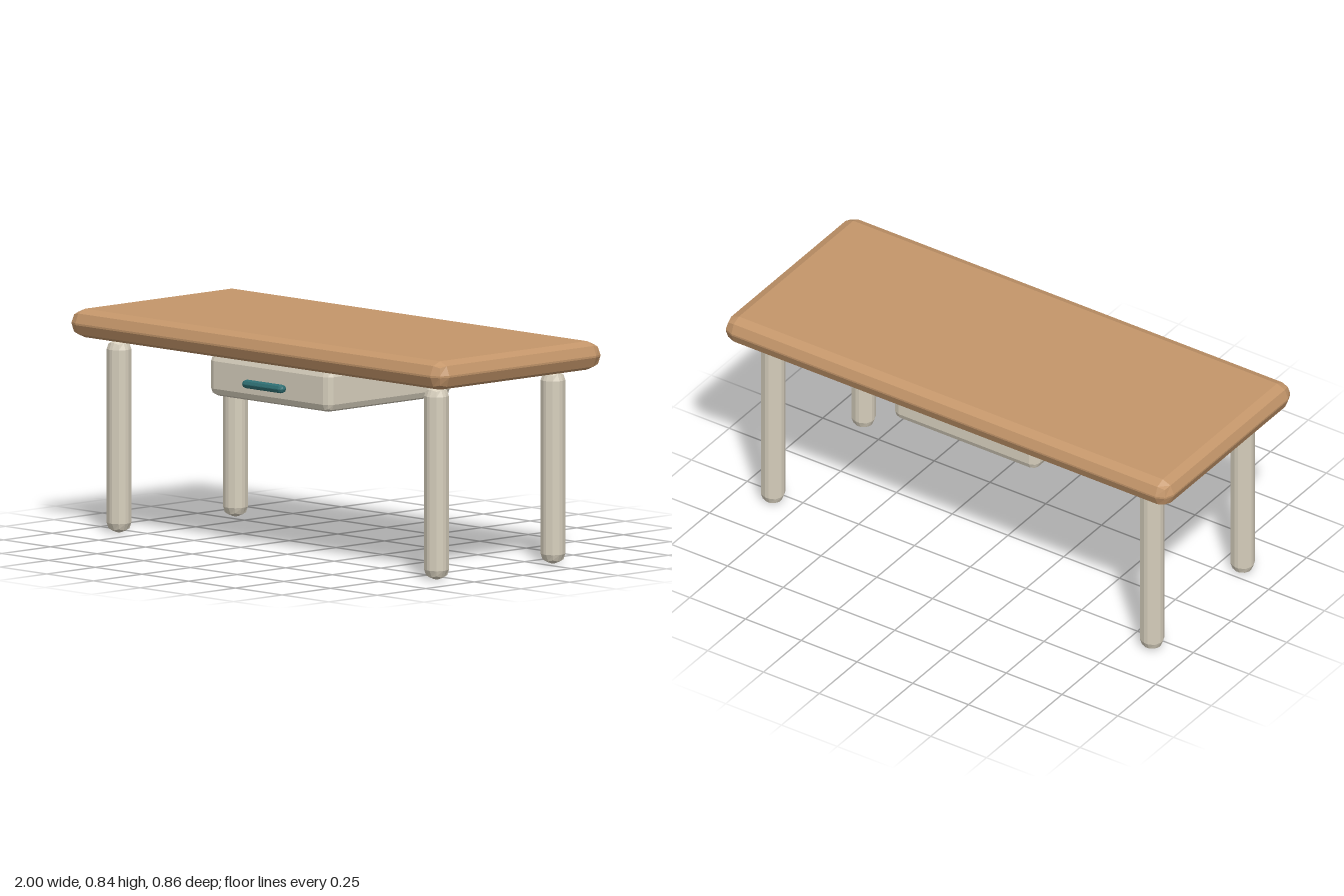
import * as THREE from 'three';
import { RoundedBoxGeometry } from 'three/addons/geometries/RoundedBoxGeometry.js';

export function createModel() {
  const model = new THREE.Group();
  model.name = 'desk';

  const material = (color) => new THREE.MeshStandardMaterial({ color, flatShading: true });
  const wood = material(0xc4966a);
  const cream = material(0xd8d0be);
  const teal = material(0x2f6f73);

  // Soft-edged block with one bevel step
  function block(name, size, radius, position, mat) {
    const mesh = new THREE.Mesh(new RoundedBoxGeometry(...size, 1, radius), mat);
    mesh.name = name;
    mesh.position.set(...position);
    model.add(mesh);
  }

  // Top
  block('tabletop', [2, 0.107, 0.857], 0.05, [0, 0.782, 0], wood);

  // Four legs
  for (const [side, x] of [['Left', 0.85], ['Right', -0.85]]) {
    for (const [end, z] of [['front', 0.3], ['back', -0.3]]) {
      block(`${end}${side}Leg`, [0.086, 0.723, 0.086], 0.0357, [x, 0.3615, z], cream);
    }
  }

  // Drawer and its floating handle
  block('drawer', [0.643, 0.161, 0.643], 0.0286, [0, 0.6525, 0.0286], cream);
  block('drawerHandle', [0.214, 0.0314, 0.0364], 0.0143, [0, 0.6415, 0.3705], teal);

  return model;
}
